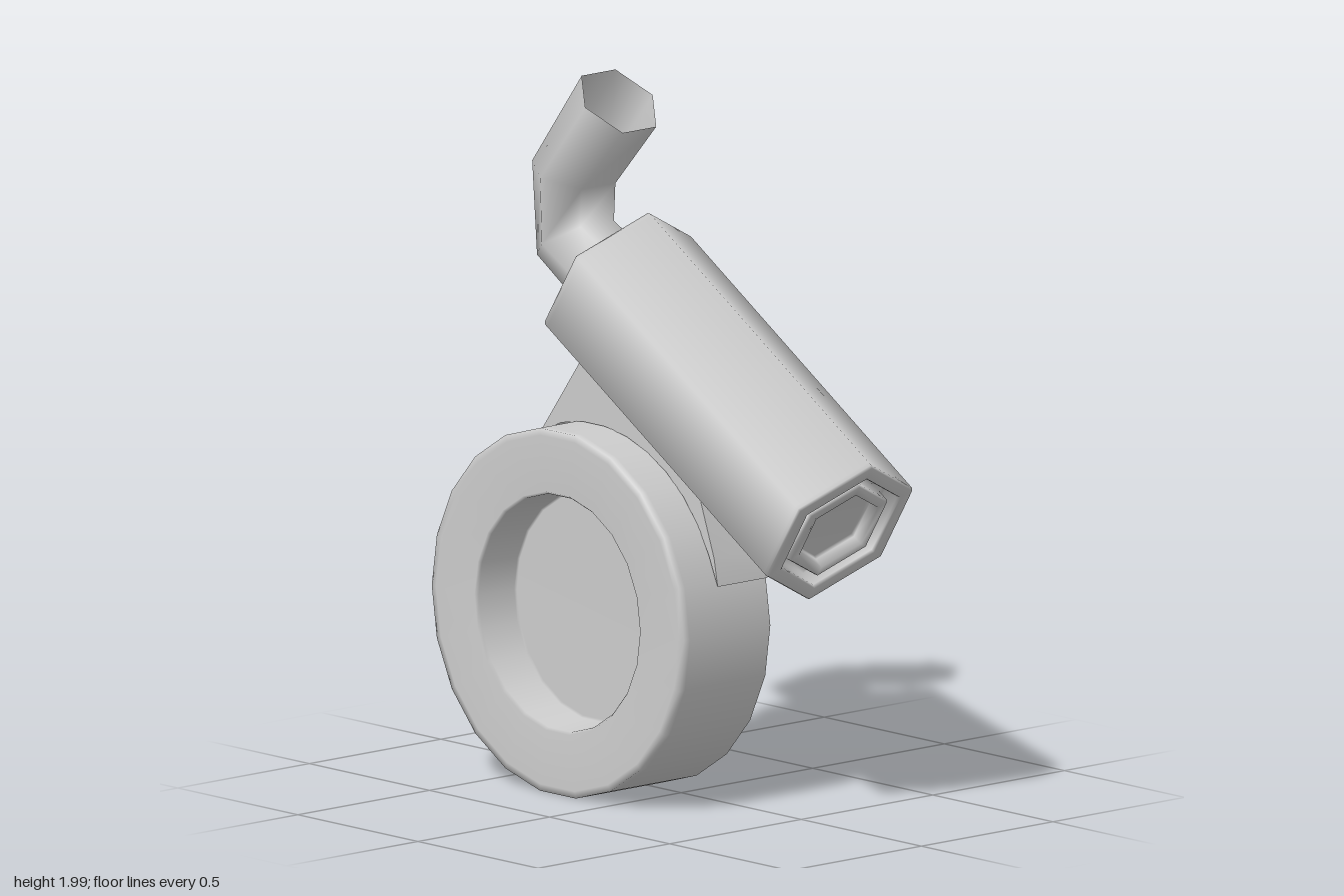
import * as THREE from 'three';

export function createModel() {
  const model = new THREE.Group();
  const grey = new THREE.MeshStandardMaterial({ color: 0xcccccc, side: THREE.DoubleSide });
  grey.name = 'grey';

  const add = (name, geometry, x = 0, y = 0, z = 0) => {
    const mesh = new THREE.Mesh(geometry, grey);
    mesh.name = name;
    mesh.position.set(x, y, z);
    model.add(mesh);
    return mesh;
  };
  const lathe = (profile, sides) =>
    new THREE.LatheGeometry(profile.map(([r, h]) => new THREE.Vector2(r, h)), sides);

  // Joins rings of equal length into one skin
  const loft = (rings, closed) => {
    const n = rings[0].length, index = [];
    for (let i = 0; i < rings.length - 1; i++) {
      for (let j = 0; j < (closed ? n : n - 1); j++) {
        const a = i * n + j, b = i * n + (j + 1) % n;
        index.push(a, b, a + n, b, b + n, a + n);
      }
    }
    const g = new THREE.BufferGeometry();
    g.setAttribute('position', new THREE.Float32BufferAttribute(rings.flat(2), 3));
    g.setIndex(index);
    g.computeVertexNormals();
    return g;
  };

  const midX = 0.054;

  // Tilted six-sided barrel, with a stepped nozzle in front and a recess behind
  const h = 0.552;
  const barrel = add('barrel', lathe([
    [0, -h + 0.05], [0.125, -h + 0.05], [0.13, -h + 0.04], [0.135, -h + 0.01],
    [0.165, -h + 0.01], [0.17, -h + 0.02], [0.17, -h + 0.06], [0.2, -h + 0.06],
    [0.2, -h + 0.01], [0.205, -h], [0.245, -h], [0.25, -h + 0.008], [0.25, -h + 0.02],
    [0.25, h - 0.02], [0.25, h - 0.008], [0.245, h], [0.215, h], [0.21, h - 0.01],
    [0.21, h - 0.03], [0.18, h - 0.03], [0.178, h - 0.04], [0.178, h - 0.1], [0, h - 0.1],
  ], 6), midX, 1.127, 0.138);
  barrel.rotation.x = -1.009;

  // Bent hollow pipe: ring centre (y, z) and half-thickness vector (y, z)
  const bends = [
    [1.356, -0.23, 0.093, 0.059],
    [1.512, -0.499, 0.053, 0.09],
    [1.7, -0.506, -0.026, 0.103],
    [1.931, -0.318, -0.069, 0.085],
  ];
  add('exhaustPipe', loft(bends.map(([y, z, dy, dz]) =>
    Array.from({ length: 6 }, (_, i) => {
      const a = i * Math.PI / 3, s = Math.sin(a) / Math.sin(Math.PI / 3);
      return [midX + 0.128 * Math.cos(a), y + s * dy, z + s * dz];
    })), true));

  // Round housing: open on the left, with a recessed hub on the right
  const housing = add('roundHousing', lathe([
    [0, -0.135], [0.322, -0.135], [0.328, -0.14], [0.338, -0.265], [0.345, -0.275],
    [0.505, -0.275], [0.525, -0.273], [0.525, -0.25], [0.525, 0.055],
  ], 22), 0, 0.525, -0.214);
  housing.rotation.z = -Math.PI / 2;

  // Neck joining the housing to the barrel; points are (z, y)
  const backWall = [[-0.44, 0.99], [-0.33, 1.14], [-0.25, 1.25]];
  const frontWall = [[0.3, 0.66], [0.285, 0.74], [0.22, 0.92]];
  const strip = (points) => loft([-0.135, midX].map((x) => points.map(([z, y]) => [x, y, z])), false);
  add('neckBack', strip(backWall));
  add('neckFront', strip(frontWall));

  // Neck side plate, its lower edge following the housing
  const outline = [...backWall, ...frontWall.slice().reverse()];
  for (let i = 1; i < 10; i++) {
    const a = 0.26 + i * 0.175;
    outline.push([-0.214 + 0.525 * Math.cos(a), 0.525 + 0.525 * Math.sin(a)]);
  }
  const plate = new THREE.ShapeGeometry(new THREE.Shape(outline.map(([z, y]) => new THREE.Vector2(z, y))));
  plate.rotateY(-Math.PI / 2);
  add('neckSide', plate, -0.135);

  return model;
}
